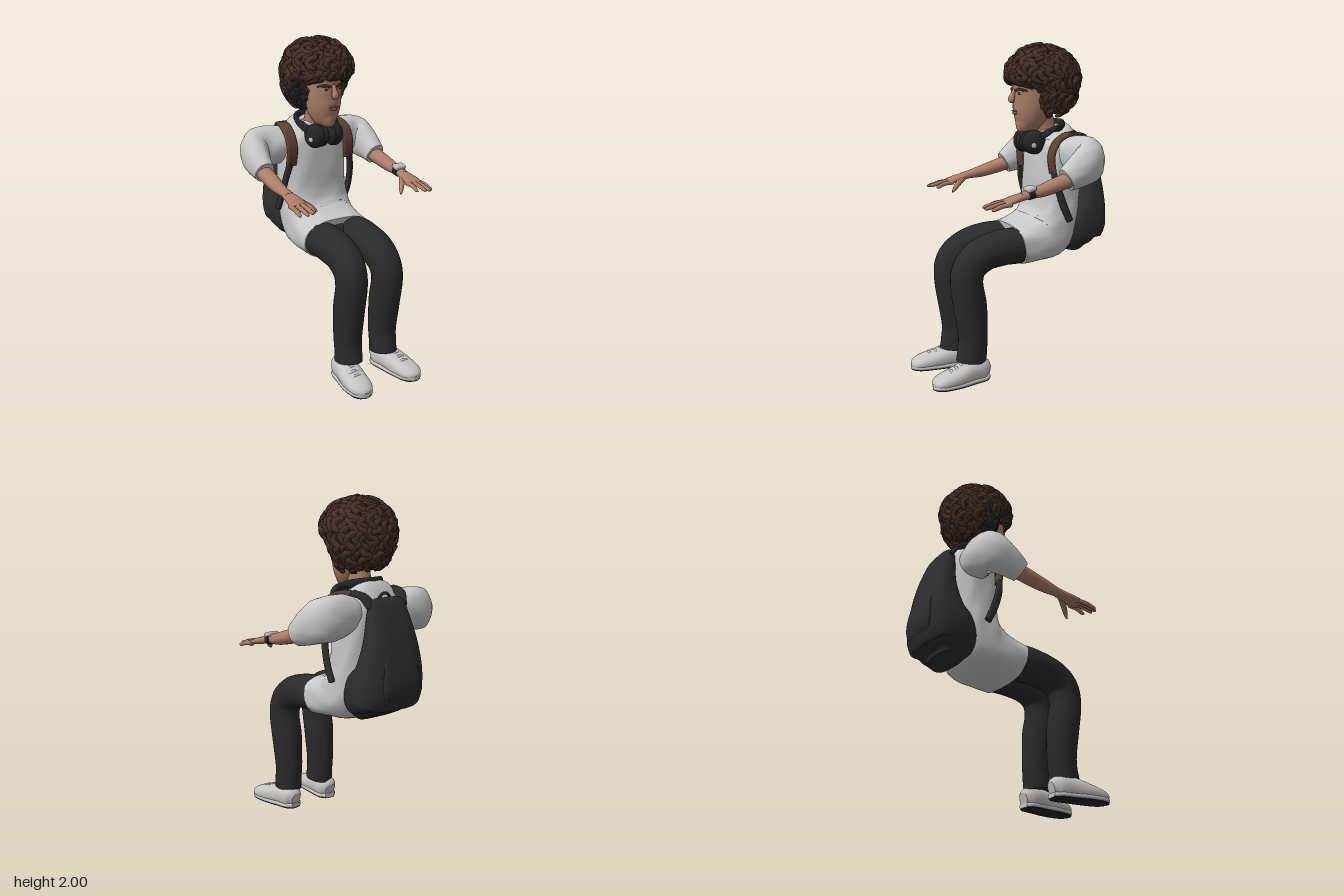
import * as THREE from 'three';
import { mergeGeometries } from 'three/addons/utils/BufferGeometryUtils.js';
import { RoundedBoxGeometry } from 'three/addons/geometries/RoundedBoxGeometry.js';

const mat = (name, color) => Object.assign(new THREE.MeshStandardMaterial({ color }), { name });

// Smooth body swept through rows of [x, y, z, halfWidth, halfDepth], capped at both ends.
function loft(rows, { ref = [1, 0, 0], seg = 20, steps = 5, pow = 2, floor = -9, wave = 0 } = {}) {
  const path = new THREE.CatmullRomCurve3(rows.map(r => new THREE.Vector3(r[0], r[1], r[2])), false, 'catmullrom');
  const size = new THREE.CatmullRomCurve3(rows.map(r => new THREE.Vector3(r[3], r[4], 0)), false, 'catmullrom');
  const n = (rows.length - 1) * steps, pos = [], idx = [];
  const R = new THREE.Vector3(...ref), se = v => Math.sign(v) * Math.abs(v) ** (2 / pow);
  for (let i = 0; i <= n; i++) {
    const c = path.getPoint(i / n), t = path.getTangent(i / n), s = size.getPoint(i / n);
    const u = R.clone().addScaledVector(t, -R.dot(t)).normalize(), v = t.clone().cross(u);
    for (let j = 0; j < seg; j++) {
      const a = j / seg * Math.PI * 2;
      const k = 1 + wave * (Math.sin(a * 5 + i * 0.45) + Math.sin(a * 9 - i * 0.7) * 0.6);
      const p = c.clone().addScaledVector(u, s.x * k * se(Math.cos(a))).addScaledVector(v, s.y * k * se(Math.sin(a)));
      pos.push(p.x, Math.max(p.y, floor), p.z);
    }
  }
  for (let i = 0; i < n; i++) for (let j = 0; j < seg; j++) {
    const a = i * seg + j, b = i * seg + (j + 1) % seg;
    idx.push(a, b, b + seg, a, b + seg, a + seg);
  }
  for (const end of [0, 1]) {
    const first = end * n * seg, base = pos.length / 3, c = path.getPoint(end);
    pos.push(...pos.slice(first * 3, (first + seg) * 3), c.x, Math.max(c.y, floor), c.z);
    for (let j = 0; j < seg; j++) {
      const a = base + j, b = base + (j + 1) % seg;
      idx.push(base + seg, end ? a : b, end ? b : a);
    }
  }
  const g = new THREE.BufferGeometry();
  g.setAttribute('position', new THREE.Float32BufferAttribute(pos, 3));
  g.setIndex(idx);
  g.computeVertexNormals();
  return g;
}

// Point of the hair mass: deeper and fuller below the middle, drawn back around the face.
function hairPoint(theta, phi, k) {
  const y = Math.cos(theta), s = Math.max(Math.sin(theta), 0), r = y > 0 ? s : s ** 0.72;
  const low = THREE.MathUtils.smoothstep(-y, 0.02, 0.3);
  let z = r * Math.cos(phi) * 0.223 * k;
  if (z > 0) z *= 1 - 0.6 * low;
  return new THREE.Vector3(r * Math.sin(phi) * 0.207 * k, 1.785 + y * (y > 0 ? 0.19 : 0.235) * k, -0.203 + z);
}

export function createModel() {
  const model = new THREE.Group();
  model.name = 'seatedFigure';
  const skin = mat('skin', 0xab7d69), lip = mat('lips', 0x9a6a5a), hair = mat('hairBrown', 0x452e25);
  const cloth = mat('shirtGrey', 0xc8c8c7), trousers = mat('trouserBlack', 0x2a2a2b);
  const pack = mat('packBlack', 0x2c2d2e), brown = mat('strapBrown', 0x5e4033);
  const shoe = mat('shoeWhite', 0xc6c4c2), black = mat('rubberBlack', 0x242527), metal = mat('metalGrey', 0xbcbcbc);
  const add = (name, g, m) => {
    const o = new THREE.Mesh(g, m);
    o.name = name;
    model.add(o);
    return o;
  };
  const ball = (name, m, p, s, rotY = 0) => {
    const o = add(name, new THREE.SphereGeometry(1, 24, 16), m);
    o.position.set(...p); o.scale.set(...s); o.rotation.y = rotY;
  };

  // Shirt body, bending forward over the lap
  add('shirt', loft([
    [0, 1.475, -0.26, 0.09, 0.08], [0, 1.44, -0.275, 0.16, 0.115], [0, 1.36, -0.28, 0.205, 0.145],
    [0, 1.2, -0.275, 0.215, 0.148], [0, 1.05, -0.265, 0.218, 0.142], [0, 0.94, -0.245, 0.225, 0.152],
    [0, 0.85, -0.195, 0.23, 0.165], [0, 0.812, -0.1, 0.232, 0.142], [0, 0.79, 0.022, 0.232, 0.124]],
    { pow: 2.7, seg: 56, wave: 0.01 }), cloth);
  ball('pelvis', trousers, [0, 0.785, -0.005], [0.19, 0.1, 0.09]);
  add('collar', new THREE.TorusGeometry(0.083, 0.014, 8, 32).rotateX(Math.PI / 2 + 0.12).translate(0, 1.472, -0.255), cloth);

  // Neck and head
  add('neck', loft([[0, 1.4, -0.25, 0.078, 0.075], [0, 1.5, -0.215, 0.068, 0.07], [0, 1.6, -0.19, 0.07, 0.08]]), skin);
  add('head', loft([
    [0, 1.465, -0.09, 0.02, 0.025], [0, 1.48, -0.09, 0.05, 0.06], [0, 1.515, -0.105, 0.078, 0.083],
    [0, 1.57, -0.125, 0.1, 0.115], [0, 1.63, -0.145, 0.112, 0.134], [0, 1.7, -0.16, 0.116, 0.15],
    [0, 1.78, -0.17, 0.12, 0.165], [0, 1.87, -0.18, 0.1, 0.13]], { seg: 32 }), skin);
  add('nose', loft([[0, 1.722, -0.02, 0.012, 0.01], [0, 1.69, -0.006, 0.014, 0.015],
    [0, 1.66, 0.004, 0.022, 0.019], [0, 1.643, -0.004, 0.016, 0.012]], { seg: 12 }), skin);
  ball('upperLip', lip, [0, 1.59, -0.015], [0.032, 0.006, 0.009]);
  ball('lowerLip', lip, [0, 1.576, -0.018], [0.027, 0.007, 0.009]);
  for (const s of [1, -1]) {
    ball('eyeWhite', cloth, [s * 0.05, 1.697, -0.026], [0.018, 0.006, 0.004], s * 0.4);
    ball('iris', black, [s * 0.049, 1.697, -0.023], [0.009, 0.006, 0.004], s * 0.4);
    add('eyebrow', loft([[s * 0.02, 1.712, -0.011, 0.004, 0.007], [s * 0.055, 1.72, -0.024, 0.004, 0.009],
      [s * 0.09, 1.712, -0.058, 0.003, 0.005]], { ref: [0, 0, 1], seg: 8 }), hair);
    ball('ear', skin, [s * 0.12, 1.65, -0.17], [0.02, 0.04, 0.025]);
  }

  // Hair: a solid mass covered with wavy locks, with a dark patch beside the right cheek
  const mass = new THREE.SphereGeometry(1, 40, 28), mp = mass.attributes.position;
  for (let i = 0; i < mp.count; i++) {
    const th = Math.acos(THREE.MathUtils.clamp(mp.getY(i), -1, 1)), ph = Math.atan2(mp.getX(i), mp.getZ(i));
    const p = hairPoint(th, ph, 0.95);
    mp.setXYZ(i, p.x, p.y, p.z);
  }
  mass.computeVertexNormals();
  add('hairMass', mass, hair);
  let seed = 7;
  const rnd = () => (seed = (seed * 16807) % 2147483647) / 2147483647;
  const locks = [], darkLocks = [], count = 270;
  for (let i = 0; i < count; i++) {
    const th0 = Math.acos(1 - 1.8 * (i + 0.5) / count), ph0 = i * 2.39996, turn = rnd() * 6.28;
    const lift = 0.965 + rnd() * 0.085, thick = 0.013 + rnd() * 0.008, swing = 0.08 + rnd() * 0.07, rows = [];
    for (let k = 0; k < 7; k++) {
      const th = th0 + (k - 2) * 0.08 + 0.05 * Math.cos(k * 1.3 + turn);
      const ph = ph0 + swing * Math.sin(k * 1.3 + turn) / Math.max(Math.sin(th0), 0.3);
      const p = hairPoint(th, ph, lift - (k === 0 ? 0.04 : 0)), w = k === 0 || k === 6 ? 0.005 : thick;
      rows.push([p.x, p.y, p.z, w * 0.8, w]);
    }
    const root = hairPoint(th0, ph0, 1);
    const dark = root.x < -0.12 && root.y < 1.75 && root.z > -0.24;
    const out = root.sub(new THREE.Vector3(0, 1.785, -0.203)).normalize();
    (dark ? darkLocks : locks).push(loft(rows, { ref: out.toArray(), seg: 7, steps: 2 }));
  }
  add('hairLocks', mergeGeometries(locks), hair);
  add('darkLocks', mergeGeometries(darkLocks), black);

  // Headphones resting on the neck
  add('headphoneBand', loft([[0.09, 1.42, -0.12, 0.014, 0.022], [0.122, 1.475, -0.2, 0.015, 0.026],
    [0.095, 1.495, -0.29, 0.015, 0.03], [0, 1.5, -0.335, 0.015, 0.032], [-0.095, 1.495, -0.29, 0.015, 0.03],
    [-0.122, 1.475, -0.2, 0.015, 0.026], [-0.09, 1.42, -0.12, 0.014, 0.022]], { ref: [0, 0.01, 1], seg: 12 }), black);
  for (const s of [1, -1]) {
    ball('earCup', black, [s * 0.068, 1.405, -0.115], [0.054, 0.074, 0.072], -s * 0.3);
    ball('earPad', black, [s * 0.036, 1.405, -0.1], [0.034, 0.066, 0.06], -s * 0.3);
    ball('cupPlate', metal, [s * 0.115, 1.39, -0.09], [0.008, 0.016, 0.016], -s * 0.3);
  }

  // Backpack with a raised rear panel
  add('backpack', loft([
    [0, 1.425, -0.435, 0.08, 0.018], [0, 1.405, -0.44, 0.12, 0.035], [0, 1.34, -0.455, 0.14, 0.055],
    [0, 1.18, -0.48, 0.18, 0.08], [0, 1.02, -0.472, 0.215, 0.118], [0, 0.92, -0.44, 0.23, 0.158],
    [0, 0.83, -0.405, 0.222, 0.152], [0, 0.77, -0.41, 0.185, 0.1], [0, 0.742, -0.425, 0.13, 0.045]],
    { pow: 2.9, seg: 40, wave: 0.004 }), pack);
  add('packPanel', loft([[0, 1.39, -0.465, 0.08, 0.02], [0, 1.3, -0.492, 0.1, 0.03], [0, 1.15, -0.536, 0.115, 0.03],
    [0, 0.98, -0.57, 0.135, 0.03], [0, 0.89, -0.568, 0.13, 0.03], [0, 0.83, -0.53, 0.11, 0.025]], { pow: 4, seg: 28 }), pack);
  add('packHandle', new THREE.TorusGeometry(0.04, 0.009, 8, 20, Math.PI).translate(0, 1.41, -0.43), pack);

  for (const s of [1, -1]) {
    // Shoulder straps
    add('shoulderStrap', loft([[s * 0.208, 1.23, -0.168, 0.034, 0.012], [s * 0.203, 1.33, -0.16, 0.036, 0.012],
      [s * 0.2, 1.41, -0.195, 0.036, 0.012], [s * 0.187, 1.452, -0.27, 0.035, 0.012],
      [s * 0.165, 1.452, -0.35, 0.034, 0.012]], { pow: 4, seg: 16 }), brown);
    add('rearStrap', loft([[s * 0.165, 1.455, -0.34, 0.035, 0.013], [s * 0.14, 1.435, -0.41, 0.034, 0.013],
      [s * 0.115, 1.38, -0.45, 0.034, 0.013]], { pow: 4, seg: 16 }), pack);
    add('lowerStrap', loft([[s * 0.215, 1.25, -0.165, 0.02, 0.012], [s * 0.236, 1.15, -0.185, 0.015, 0.02],
      [s * 0.247, 1.04, -0.22, 0.013, 0.022], [s * 0.25, 0.94, -0.265, 0.013, 0.02]], { pow: 4, seg: 12 }), pack);

    // Arm: sleeve, forearm, hand
    add('sleeve', loft([[s * 0.1, 1.345, -0.29, 0.09, 0.09], [s * 0.2, 1.335, -0.315, 0.113, 0.1],
      [s * 0.3, 1.325, -0.335, 0.13, 0.093], [s * 0.375, 1.31, -0.315, 0.125, 0.09],
      [s * 0.4, 1.265, -0.23, 0.1, 0.076], [s * 0.404, 1.22, -0.145, 0.07, 0.061]],
      { ref: [0, 1, 0], seg: 32, wave: 0.014 }), cloth);
    add('forearm', loft([[s * 0.405, 1.225, -0.18, 0.05, 0.045], [s * 0.408, 1.195, -0.07, 0.048, 0.042],
      [s * 0.413, 1.172, 0.02, 0.041, 0.036], [s * 0.413, 1.158, 0.1, 0.033, 0.026], [s * 0.413, 1.148, 0.15, 0.036, 0.024]]), skin);
    add('palm', loft([[s * 0.413, 1.153, 0.12, 0.033, 0.024], [s * 0.412, 1.14, 0.18, 0.046, 0.022],
      [s * 0.413, 1.128, 0.23, 0.054, 0.019], [s * 0.415, 1.12, 0.265, 0.048, 0.012]]), skin);
    [0.345, 0.38, 0.382, 0.355].forEach((tip, i) => {
      const x = 0.371 + i * 0.0285, fan = 0.004 * (i - 1.5), y = 1.128 - Math.abs(i - 1.2) * 0.006;
      add('finger', loft([[s * x, y, 0.23, 0.014, 0.014], [s * (x + fan * 0.5), y - 0.004, 0.29, 0.0135, 0.013],
        [s * (x + fan), y - 0.02, tip - 0.015, 0.011, 0.011], [s * (x + fan), y - 0.025, tip, 0.004, 0.004]], { seg: 10, steps: 3 }), skin);
    });
    add('thumb', loft([[s * 0.392, 1.14, 0.15, 0.018, 0.016], [s * 0.355, 1.115, 0.2, 0.018, 0.017],
      [s * 0.32, 1.09, 0.24, 0.014, 0.013], [s * 0.3, 1.072, 0.265, 0.005, 0.005]], { ref: [0, 1, 0], seg: 12, steps: 3 }), skin);

    // Trouser leg
    add('trouserLeg', loft([[s * 0.115, 0.79, -0.14, 0.09, 0.09], [s * 0.115, 0.793, 0, 0.11, 0.108],
      [s * 0.117, 0.79, 0.12, 0.112, 0.108], [s * 0.12, 0.765, 0.25, 0.106, 0.103], [s * 0.125, 0.7, 0.338, 0.098, 0.1],
      [s * 0.13, 0.6, 0.362, 0.093, 0.098], [s * 0.13, 0.45, 0.342, 0.092, 0.1],
      [s * 0.128, 0.28, 0.325, 0.084, 0.09], [s * 0.128, 0.19, 0.33, 0.08, 0.09], [s * 0.128, 0.12, 0.338, 0.08, 0.094]],
      { seg: 28, wave: 0.011 }), trousers);

    // Shoe: upper, rim, tread and laces
    const foot = [[0.14, 0.055, 0.236, 0.035, 0.04], [0.143, 0.065, 0.275, 0.065, 0.068], [0.155, 0.068, 0.36, 0.072, 0.068],
      [0.17, 0.053, 0.45, 0.078, 0.056], [0.18, 0.04, 0.54, 0.072, 0.042], [0.184, 0.03, 0.585, 0.05, 0.028], [0.185, 0.025, 0.602, 0.018, 0.012]];
    const slab = (y, b, w) => foot.map(r => [s * r[0], y, r[2], r[3] * w, b]);
    add('shoeUpper', loft(foot.map(r => [s * r[0], ...r.slice(1)]), { seg: 28, pow: 2.3, floor: 0.008 }), shoe);
    add('shoeRim', loft(slab(0.018, 0.014, 1.02), { seg: 16, pow: 4 }), shoe);
    add('shoeTread', loft(slab(0.0035, 0.0035, 0.94), { seg: 16, pow: 4 }), black);
    for (const [x, y, z] of [[0.164, 0.119, 0.42], [0.169, 0.11, 0.455], [0.174, 0.099, 0.49]])
      add('lace', loft([-1, 0, 1].map(k => [s * x + k * 0.038, y - Math.abs(k) * 0.014, z, 0.008, 0.008]),
        { ref: [0, 0, 1], seg: 8, steps: 3 }), shoe);
  }

  // Watch on the left wrist
  add('watchBand', loft([[0.413, 1.165, 0.078, 0.041, 0.034], [0.413, 1.156, 0.11, 0.039, 0.032]], { seg: 24 }), black);
  const dial = add('watchCase', new RoundedBoxGeometry(0.078, 0.028, 0.056, 3, 0.012), metal);
  dial.position.set(0.413, 1.189, 0.095);
  dial.rotation.x = 0.25;
  return model;
}
